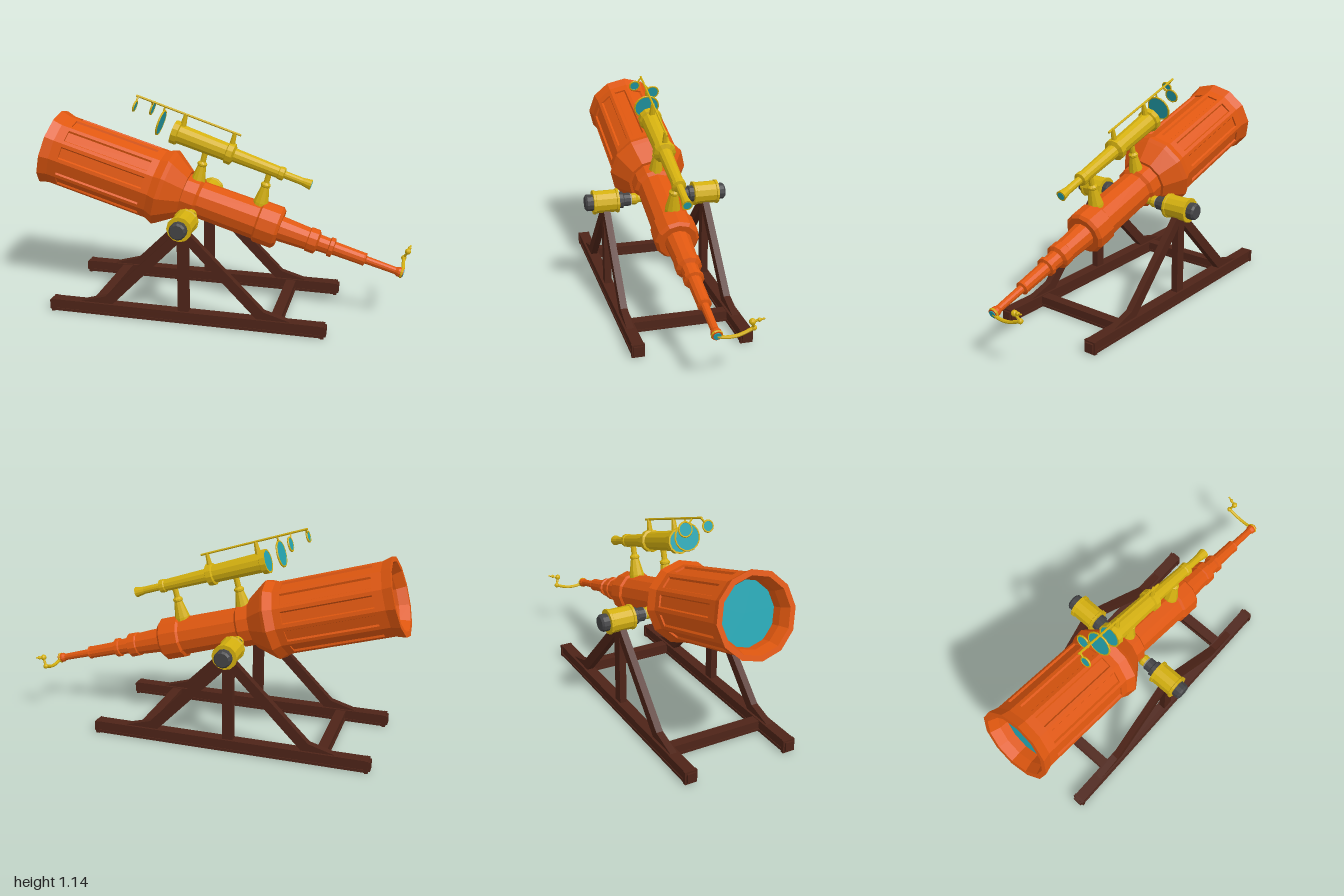
import * as THREE from 'three';

const V = (x, y, z) => new THREE.Vector3(x, y, z);
const mat = (color, side = THREE.FrontSide) => new THREE.MeshStandardMaterial({ color, flatShading: true, side });
const ORANGE = mat(0xdf570f), GOLD = mat(0xd4b00f), DARK = mat(0x444446), GREY = mat(0xa8a8a0);
const GLASS = mat(0x23a3b0, THREE.DoubleSide), WOOD = mat(0x4e2418);
const UP = V(0, 1, 0);

export function createModel() {
  const model = new THREE.Group();

  const add = (name, geometry, material, parent = model) => {
    const mesh = new THREE.Mesh(geometry, material);
    mesh.name = name;
    parent.add(mesh);
    return mesh;
  };
  // turned part: profile of [radius, distance] along the parent's y axis
  const turned = (name, profile, material, parent, sides = 12) =>
    add(name, new THREE.LatheGeometry(profile.map(p => new THREE.Vector2(...p)), sides), material, parent);
  // group whose y axis points along dir
  const axisGroup = (name, origin, dir) => {
    const g = new THREE.Group();
    g.name = name;
    g.position.copy(origin);
    g.quaternion.setFromUnitVectors(UP, dir.clone().normalize());
    model.add(g);
    return g;
  };
  const rod = (name, a, b, r0, r1, material, sides = 8) => {
    const dir = b.clone().sub(a), len = dir.length();
    return add(name, new THREE.CylinderGeometry(r1, r0, len, sides).translate(0, len / 2, 0), material,
      axisGroup(name + 'Mount', a, dir));
  };
  const ball = (name, p, r) => add(name, new THREE.SphereGeometry(r, 10, 8), GOLD).position.copy(p);

  // ---- main telescope, running from the wide mouth to the eyepiece ----
  const tube = axisGroup('mainTelescope', V(-0.94, 0.83, 0), V(1.9, -0.56, 0));
  turned('drum', [
    [0.155, 0.12], [0.16, 0.05], [0.18, 0], [0.207, 0], [0.193, 0.05], [0.193, 0.1], [0.172, 0.1],
    [0.172, 0.57], [0.193, 0.57], [0.193, 0.61], [0.212, 0.655], [0.2, 0.675], [0.132, 0.77], [0.09, 0.77],
  ], ORANGE, tube);
  turned('barrel', [
    [0.09, 0.75], [0.117, 0.75], [0.117, 0.84], [0.1, 0.855], [0.103, 1.18], [0.115, 1.19], [0.115, 1.29],
    [0.1, 1.305], [0.068, 1.305], [0.06, 1.46], [0.066, 1.465], [0.066, 1.51], [0.045, 1.52], [0.043, 1.575],
    [0.052, 1.58], [0.052, 1.6], [0.036, 1.605], [0.034, 1.765], [0.036, 1.775], [0.021, 1.78],
    [0.019, 1.94], [0.026, 1.955], [0.026, 1.98], [0, 1.98],
  ], ORANGE, tube);

  // paneled middle of the drum: a twelve-sided section with a shallow notch in each face
  const section = [];
  for (let i = 0; i < 12; i++) {
    const corner = k => new THREE.Vector2(Math.cos(k * Math.PI / 6), Math.sin(k * Math.PI / 6)).multiplyScalar(0.193);
    const a = corner(i), b = corner(i + 1);
    const at = (t, k) => a.clone().lerp(b, t).multiplyScalar(k);
    section.push(a, at(0.18, 1), at(0.23, 0.95), at(0.77, 0.95), at(0.82, 1));
  }
  const panels = new THREE.ExtrudeGeometry(new THREE.Shape(section), { depth: 0.47, bevelEnabled: false });
  add('drumPanels', panels.rotateX(-Math.PI / 2).translate(0, 0.1, 0), ORANGE, tube);

  const lens = (name, r, s, parent) =>
    add(name, new THREE.CylinderGeometry(r, r, 0.006, 16), GLASS, parent).position.y = s;
  lens('mainLens', 0.158, 0.1, tube);
  lens('eyepieceLens', 0.019, 1.981, tube);

  // ---- finder scope ----
  const finderDir = V(0.735, -0.24, 0);
  const finder = axisGroup('finderScope', V(-0.262, 0.952, 0), finderDir);
  turned('finderTube', [
    [0, 0.01], [0.055, 0.01], [0.055, 0], [0.064, 0], [0.064, 0.03], [0.053, 0.035], [0.048, 0.3], [0.059, 0.305],
    [0.059, 0.335], [0.037, 0.345], [0.032, 0.59], [0.036, 0.595], [0.036, 0.62], [0.02, 0.625],
    [0.02, 0.72], [0.028, 0.77], [0.02, 0.77], [0, 0.765],
  ], GOLD, finder);
  lens('finderLens', 0.057, 0.004, finder);
  lens('finderEyeLens', 0.02, 0.769, finder);

  // turned pillars carrying the finder
  for (const [x, y, h] of [[-0.14, 0.66, 0.2], [0.2, 0.57, 0.22]]) {
    const pillar = axisGroup('finderPillar', V(x, y, 0), V(0.25, 0.97, 0));
    turned('pillar', [
      [0, 0], [0.042, 0], [0.04, 0.035], [0.022, 0.12], [0.026, 0.125], [0.026, 0.135],
      [0.015, 0.145], [0.015, h],
    ], GOLD, pillar, 10);
  }

  // rail above the finder with its three hanging lenses
  rod('filterRail', V(-0.46, 1.133, 0), V(0.1, 0.952, 0), 0.006, 0.006, GOLD, 6);
  rod('railPost', V(0.05, 0.89, 0), V(0.068, 0.965, 0), 0.016, 0.01, GOLD);
  rod('railPost', V(-0.21, 0.98, 0), V(-0.193, 1.045, 0), 0.018, 0.01, GOLD);
  for (const [x, y, z, r, hx, hy] of [
    [-0.457, 1.085, 0.037, 0.027, -0.45, 1.13], [-0.387, 1.06, -0.045, 0.035, -0.375, 1.105],
    [-0.33, 0.995, 0, 0.066, -0.305, 1.083]]) {
    const g = axisGroup('hangingLens', V(x, y, z), finderDir);
    lens('filterGlass', r, 0, g);
    add('filterRim', new THREE.TorusGeometry(r, 0.005, 6, 16).rotateX(Math.PI / 2), GOLD, g);
    const top = V(hx, hy, 0);
    const edge = V(x, y, z).lerp(top, r / V(x, y, z).distanceTo(top));
    rod('filterStem', edge, top, 0.005, 0.005, GOLD, 6);
  }

  // ---- jointed arm at the eyepiece ----
  const arm = new THREE.CatmullRomCurve3([
    V(0.955, 0.268, 0), V(0.957, 0.258, -0.04), V(0.957, 0.26, -0.1), V(0.955, 0.285, -0.172)]);
  add('eyepieceArm', new THREE.TubeGeometry(arm, 12, 0.009, 8), GOLD);
  const collar = new THREE.TorusGeometry(0.023, 0.006, 6, 12).rotateX(Math.PI / 2);
  add('armCollar', collar, GOLD, tube).position.y = 1.972;
  ball('armJoint', V(0.955, 0.287, -0.174), 0.014);
  rod('armLink', V(0.955, 0.287, -0.174), V(0.975, 0.33, -0.158), 0.007, 0.007, GOLD);
  ball('armJoint', V(0.975, 0.33, -0.158), 0.016);
  rod('armTip', V(0.975, 0.33, -0.158), V(0.988, 0.346, -0.213), 0.007, 0.004, GOLD);
  ball('armTipKnob', V(0.982, 0.339, -0.188), 0.01);

  // ---- both sides: trunnion and timber stand ----
  for (const side of [1, -1]) {
    const trunnion = axisGroup('trunnion', V(-0.14, 0.54, 0), V(0, 0, side));
    turned('trunnionPin', [[0, 0.06], [0.022, 0.06], [0.022, 0.1], [0.032, 0.115], [0.03, 0.135], [0.018, 0.15]],
      GOLD, trunnion);
    turned('trunnionWasher', [[0, 0.1], [0.014, 0.1], [0.024, 0.13], [0.036, 0.146], [0, 0.146]], GREY, trunnion);
    turned('innerHub', [[0, 0.145], [0.036, 0.145], [0.036, 0.18], [0.045, 0.185], [0.045, 0.215]], DARK, trunnion);
    turned('trunnionDrum', [
      [0, 0.21], [0.066, 0.21], [0.066, 0.222], [0.061, 0.225], [0.061, 0.333], [0.066, 0.336],
      [0.066, 0.348], [0, 0.348],
    ], GOLD, trunnion);
    turned('hubCap', [[0.045, 0.345], [0.045, 0.38], [0.036, 0.39], [0, 0.39]], DARK, trunnion);

    const z = 0.277 * side;
    const box = (name, w, h, d, x, y) => add(name, new THREE.BoxGeometry(w, h, d), WOOD).position.set(x, y, z);
    box('rail', 1.45, 0.056, 0.052, -0.137, 0.034);
    // raised edges and end collars of the rail
    for (const y of [0.01, 0.06]) box('railEdge', 1.44, 0.014, 0.06, -0.137, y);
    for (const x of [-0.862, 0.588]) {
      box('railCollar', 0.018, 0.067, 0.066, x, 0.0335);
      box('railEnd', 0.038, 0.05, 0.048, x, 0.034);
    }
    box('post', 0.056, 0.46, 0.037, -0.14, 0.28);

    // braces leaning in from both ends, each with a wedge foot
    for (const m of [1, -1]) {
      const outline = [[0, 0.535], [0.425, 0.108], [0.575, 0.064], [0.39, 0.064], [0, 0.465]]
        .map(([x, y]) => new THREE.Vector2(-0.14 + m * x, y));
      const g = new THREE.ExtrudeGeometry(new THREE.Shape(outline), { depth: 0.036, bevelEnabled: false });
      add('brace', g.translate(0, 0, z - 0.018), WOOD);
    }
  }

  // cross beams joining the rails
  for (const x of [-0.625, 0.34]) {
    add('crossBeam', new THREE.BoxGeometry(0.046, 0.046, 0.52), WOOD).position.set(x, 0.036, 0);
    for (const y of [0.014, 0.058])
      add('crossBeamEdge', new THREE.BoxGeometry(0.055, 0.012, 0.52), WOOD).position.set(x, y, 0);
  }
  return model;
}
